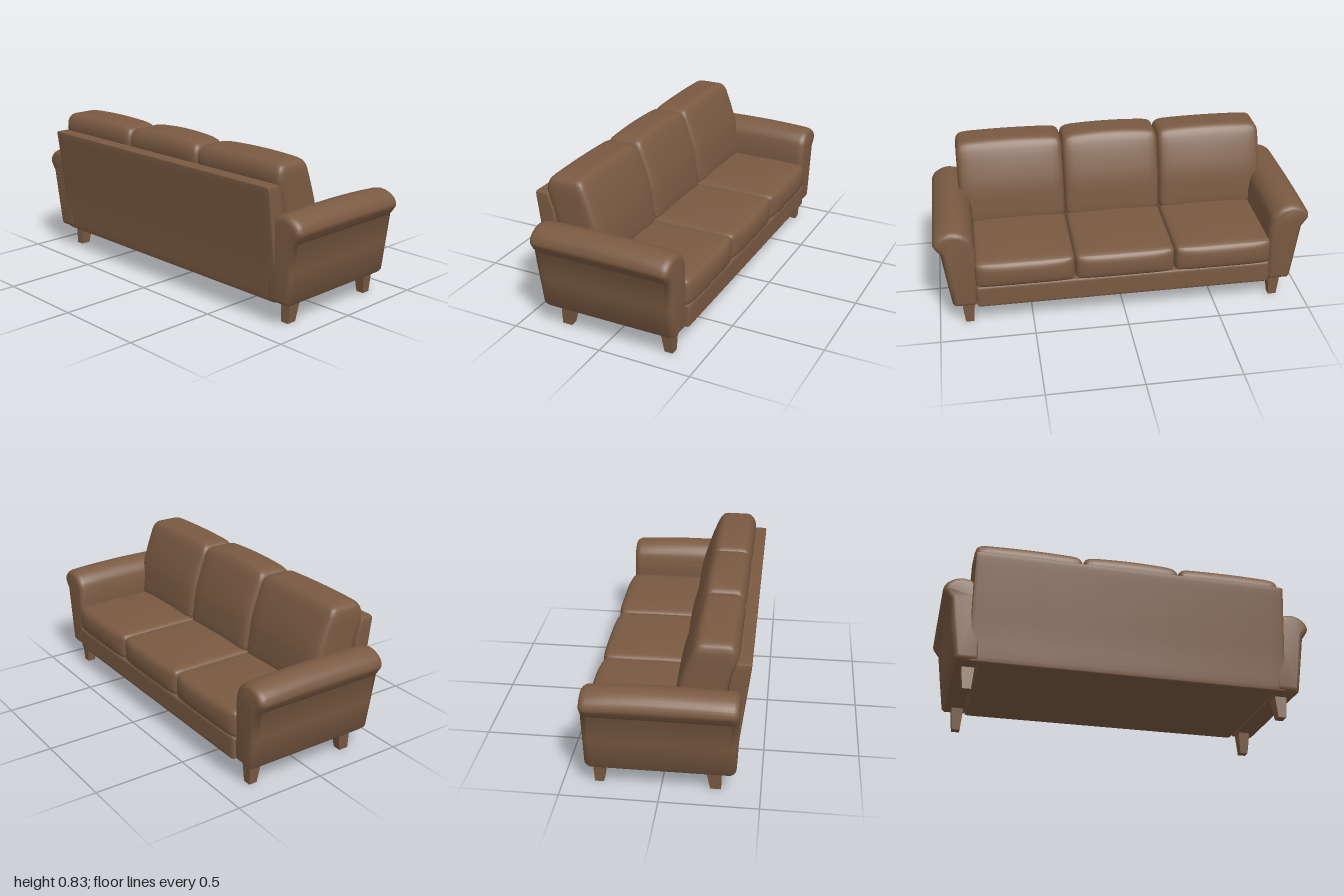
import * as THREE from 'three';
import { mergeVertices, toCreasedNormals } from 'three/addons/utils/BufferGeometryUtils.js';

const lerp = THREE.MathUtils.lerp;

// piecewise-linear lookup through [key, value] pairs
function along(table, k) {
  for (let i = 1; i < table.length; i++) {
    const [k0, v0] = table[i - 1], [k1, v1] = table[i];
    if (k <= k1) return lerp(v0, v1, Math.max(0, (k - k0) / (k1 - k0)));
  }
  return table[table.length - 1][1];
}

// rounded block with a fine grid; rule(p, u) reshapes it, u runs -1..1 on each axis
function softBlock(min, max, radius, rule, n = 14) {
  const size = new THREE.Vector3().subVectors(max, min).multiplyScalar(0.5);
  const mid = new THREE.Vector3().addVectors(max, min).multiplyScalar(0.5);
  let geo = new THREE.BoxGeometry(2, 2, 2, n, n, n);
  geo.deleteAttribute('normal');
  geo.deleteAttribute('uv');
  geo = mergeVertices(geo);
  const pos = geo.attributes.position;
  const inner = size.clone().subScalar(radius);
  const p = new THREE.Vector3(), c = new THREE.Vector3(), u = new THREE.Vector3();
  for (let i = 0; i < pos.count; i++) {
    p.fromBufferAttribute(pos, i);
    p.set(...p.toArray().map((t) => Math.sin(t * Math.PI / 2))).multiply(size);
    c.copy(p).clamp(inner.clone().negate(), inner);
    p.sub(c).setLength(radius).add(c);
    u.copy(p).divide(size);
    p.add(mid);
    if (rule) rule(p, u);
    pos.setXYZ(i, p.x, p.y, p.z);
  }
  geo.computeVertexNormals();
  return geo;
}

const V = (x, y, z) => new THREE.Vector3(x, y, z);

export function createModel() {
  const sofa = new THREE.Group();
  sofa.name = 'sofa';
  const leather = new THREE.MeshStandardMaterial({ color: 0x7a5a42 });
  leather.name = 'brown leather';

  function add(name, geo) {
    const mesh = new THREE.Mesh(geo, leather);
    mesh.name = name;
    sofa.add(mesh);
  }

  // base under the seat
  add('base', softBlock(V(-0.37, 0.122, -0.795), V(0.395, 0.25, 0.795), 0.015));

  // leaning back panel
  const panelBack = [[0.12, -0.37], [0.3, -0.385], [0.715, -0.435]];
  const panelFront = [[0.12, -0.3], [0.63, -0.325], [0.72, -0.357]];
  add('backPanel', softBlock(V(-0.43, 0.12, -0.85), V(-0.33, 0.72, 0.845), 0.015, (p, u) => {
    p.x = lerp(along(panelBack, p.y), along(panelFront, p.y), (u.x + 1) / 2);
  }));

  // three seat and three back cushions
  const cushionBack = [[0.38, -0.3], [0.6, -0.33], [0.72, -0.372], [0.77, -0.368], [0.84, -0.34]];
  const cushionFront = [[0.38, -0.05], [0.58, -0.08], [0.68, -0.112], [0.78, -0.15], [0.84, -0.175]];
  const edges = [-0.85, -0.268, 0.268, 0.85];
  const names = ['right', 'middle', 'left'];
  names.forEach((side, i) => {
    const z0 = edges[i], z1 = edges[i + 1];
    const s0 = Math.max(z0, -0.8), s1 = Math.min(z1, 0.8);

    add(side + 'SeatCushion', softBlock(V(-0.2, 0.235, s0), V(0.395, 0.39, s1), 0.035, (p, u) => {
      const crown = (1 - u.x ** 2) * (1 - u.z ** 2);
      if (u.y > 0) p.y += 0.014 * crown * u.y;
      if (u.x > 0.5) p.x += 0.016 * (1 - u.y ** 2) * (1 - u.z ** 4);
      p.x -= 0.008 * Math.max(0, u.x) * u.z ** 6;
    }));

    add(side + 'BackCushion', softBlock(V(-0.35, 0.36, z0), V(-0.05, 0.815, z1), 0.05, (p, u) => {
      const y = p.y;
      p.x = lerp(along(cushionBack, y), along(cushionFront, y), (u.x + 1) / 2);
      const belly = (1 - u.z ** 2) * (1 - u.y ** 2);
      if (u.x > 0) p.x += 0.012 * belly * u.x;
      if (u.y > 0) p.y += (i === 1 ? 0.016 : 0.01) * (1 - u.z ** 2) * (1 + 0.3 * u.x) * u.y;
    }));
  });

  // rolled arms: outline across the arm, swept front to back
  const lower = [[0.785, 0.14], [0.8, 0.12], [0.91, 0.12], [0.925, 0.135], [0.947, 0.3], [0.966, 0.45]];
  const roll = [[0.985, 0.478], [1, 0.512], [0.985, 0.553], [0.945, 0.583],
    [0.895, 0.593], [0.84, 0.575], [0.8, 0.53], [0.785, 0.46]];
  const bevel = 0.038;
  for (const s of [1, -1]) {
    const shape = new THREE.Shape(lower.map(([z, y]) => new THREE.Vector2(-s * z, y)));
    shape.splineThru(roll.map(([z, y]) => new THREE.Vector2(-s * z, y)));
    const geo = new THREE.ExtrudeGeometry(shape, {
      depth: 0.77 - 2 * bevel, steps: 8, curveSegments: 20,
      bevelThickness: bevel, bevelSize: 0.03, bevelOffset: -0.03, bevelSegments: 5,
    });
    geo.rotateY(Math.PI / 2).translate(-0.388 + bevel, 0, 0);
    const pos = geo.attributes.position;
    for (let i = 0; i < pos.count; i++) {
      // top dips slightly toward both ends
      const x = pos.getX(i), y = pos.getY(i);
      const dip = x > 0 ? 0.016 : 0.008;
      if (y > 0.45) pos.setY(i, y - dip * (x / 0.38) ** 2 * (y - 0.45) / 0.14);
      if (y < 0.45 && x < 0) pos.setX(i, x * (1 - 0.03 * (0.45 - y) / 0.33));
    }
    geo.deleteAttribute('uv');
    add(s > 0 ? 'leftArm' : 'rightArm', toCreasedNormals(geo, 0.7));
  }

  // tapered legs: [top x range, bottom x range]
  const legs = { front: [0.275, 0.345, 0.295, 0.34], back: [-0.295, -0.222, -0.3, -0.246] };
  for (const [end, [t0, t1, b0, b1]] of Object.entries(legs)) {
    for (const s of [1, -1]) {
      const geo = new THREE.BoxGeometry(2, 1, 2);
      const pos = geo.attributes.position;
      for (let i = 0; i < pos.count; i++) {
        const top = pos.getY(i) > 0, k = (pos.getX(i) + 1) / 2;
        pos.setXYZ(i, top ? lerp(t0, t1, k) : lerp(b0, b1, k), top ? 0.13 : 0,
          s * 0.842 + pos.getZ(i) * (top ? 0.034 : 0.022));
      }
      geo.computeVertexNormals();
      add(end + (s > 0 ? 'LeftLeg' : 'RightLeg'), geo);
    }
  }
  return sofa;
}
